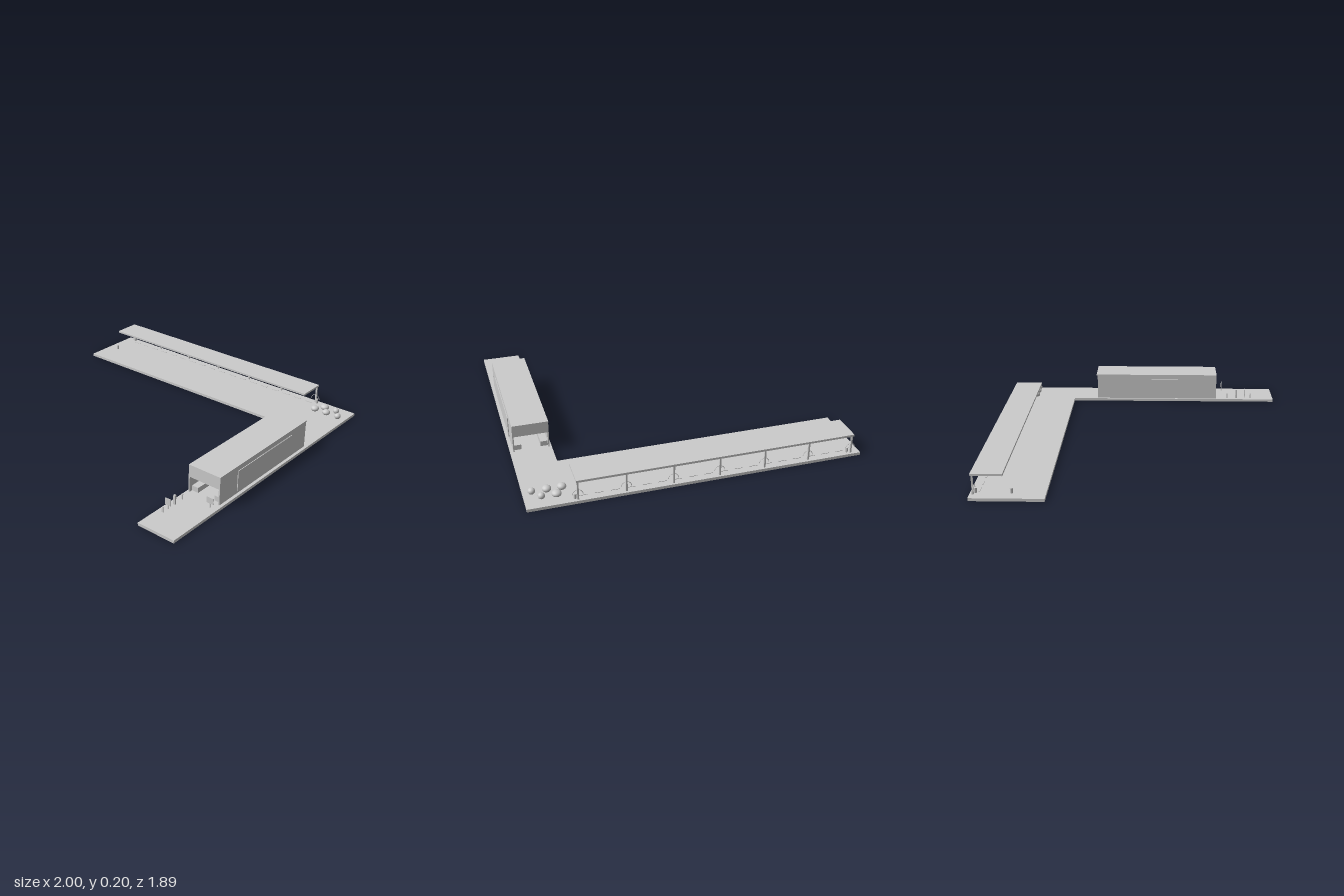
import * as THREE from 'three';

export function createModel() {
  const model = new THREE.Group();
  const grey = new THREE.MeshStandardMaterial({ color: 0xcccccc });
  grey.name = 'light grey';

  function add(name, geometry, x = 0, y = 0, z = 0, parent = model) {
    const mesh = new THREE.Mesh(geometry, grey);
    mesh.name = name;
    mesh.position.set(x, y, z);
    parent.add(mesh);
    return mesh;
  }
  // Box given by its limits on each axis
  function box(name, x0, x1, y0, y1, z0, z1, parent) {
    return add(name, new THREE.BoxGeometry(x1 - x0, y1 - y0, z1 - z0),
      (x0 + x1) / 2, (y0 + y1) / 2, (z0 + z1) / 2, parent);
  }

  // L-shaped platform
  const outline = new THREE.Shape([
    [-1, 0.945], [-1, 0.517], [0.75, 0.517], [0.75, -0.942], [1, -0.942], [1, 0.945],
  ].map(([x, y]) => new THREE.Vector2(x, y)));
  const slab = new THREE.ExtrudeGeometry(outline, { depth: 0.018, bevelEnabled: false });
  slab.rotateX(-Math.PI / 2);
  add('platform', slab);

  // Long canopy on seven posts, each with an arched rail at its foot
  const canopy = new THREE.Group();
  canopy.name = 'canopy';
  model.add(canopy);
  box('canopyRoof', -0.952, 0.722, 0.131, 0.144, -0.936, -0.754, canopy);
  for (let i = 0; i < 7; i++) {
    const x = -0.943 + i * 0.276;
    box('canopyPost', x - 0.005, x + 0.005, 0.018, 0.132, -0.931, -0.921, canopy);
    add('archedRail', new THREE.TorusGeometry(0.03, 0.002, 6, 16, Math.PI), x, 0.043, -0.918, canopy);
  }
  // Floor strips beneath the canopy
  for (let i = 0; i < 18; i++) {
    const x = -0.91 + i * 0.092;
    box('floorStrip', x, x + 0.05, 0.018, 0.021, -0.9, -0.892, canopy);
  }

  // Bins
  for (const [x, z] of [[-0.924, -0.712], [-0.924, -0.915], [0.728, -0.915]]) {
    add('bin', new THREE.CylinderGeometry(0.009, 0.008, 0.03, 16), x, 0.033, z);
  }

  // Hall, open at both ends
  const hall = new THREE.Group();
  hall.name = 'hall';
  model.add(hall);
  box('hallRoof', 0.762, 0.981, 0.188, 0.197, -0.355, 0.525, hall);
  for (const side of [-1, 1]) {
    const x = 0.8715 + side * 0.1055;
    box('hallWall', x - 0.004, x + 0.004, 0.018, 0.19, -0.347, 0.524, hall);
    const px = 0.8715 + side * 0.1115;
    box('wallPanel', px - 0.0025, px + 0.0025, 0.035, 0.165, -0.19, 0.36, hall);
    const bx = 0.8715 + side * 0.08;
    box('hallBench', bx - 0.022, bx + 0.022, 0.018, 0.05, -0.33, 0.5, hall);
  }
  box('frontLintel', 0.766, 0.977, 0.118, 0.19, 0.512, 0.524, hall);
  box('backLintel', 0.766, 0.977, 0.118, 0.19, -0.347, -0.335, hall);

  // Round clumps at the corner
  for (const [x, z, r] of [[0.82, -0.865, 0.028], [0.905, -0.865, 0.02],
    [0.78, -0.805, 0.026], [0.865, -0.805, 0.026], [0.95, -0.805, 0.021]]) {
    add('roundClump', new THREE.SphereGeometry(r, 20, 12), x, 0.037, z).scale.y = 0.019 / r;
  }

  // Boards, stand and posts at the front end
  box('smallBoard', 0.93, 0.977, 0.045, 0.083, 0.572, 0.576);
  box('boardLeg', 0.951, 0.956, 0.018, 0.047, 0.572, 0.576);
  box('tallBoard', 0.768, 0.808, 0.043, 0.084, 0.733, 0.737);
  box('boardLeg', 0.786, 0.79, 0.018, 0.045, 0.733, 0.737);
  box('stand', 0.78, 0.792, 0.018, 0.078, 0.669, 0.681);
  for (const z of [0.608, 0.778]) box('shortPost', 0.782, 0.79, 0.018, 0.052, z - 0.003, z + 0.003);

  return model;
}
